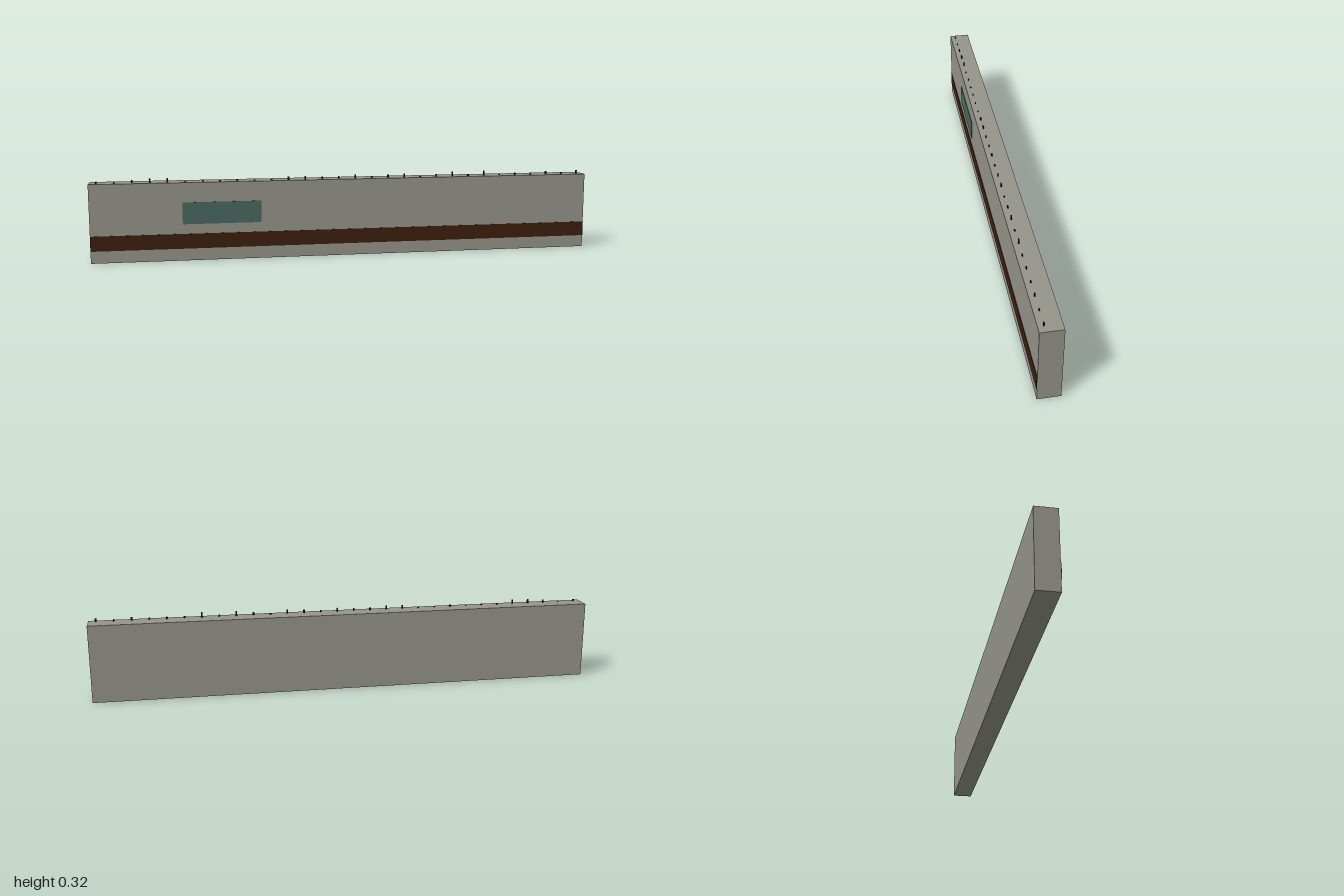
import * as THREE from 'three';

const paint = (name, color) => {
  const m = new THREE.MeshStandardMaterial({ color });
  m.name = name;
  return m;
};

export function createModel() {
  const group = new THREE.Group();
  const concrete = paint('concrete grey', 0x96958b);
  const brown = paint('dark brown', 0x3d200f);
  const teal = paint('faded teal', 0x4a6862);
  const glass = paint('dark glass', 0x1c1a12);

  // Box given by its lower and upper corners
  function box(name, material, [x0, y0, z0], [x1, y1, z1], parent = group) {
    const mesh = new THREE.Mesh(new THREE.BoxGeometry(x1 - x0, y1 - y0, z1 - z0), material);
    mesh.position.set((x0 + x1) / 2, (y0 + y1) / 2, (z0 + z1) / 2);
    mesh.name = name;
    parent.add(mesh);
  }

  // Wall slab with a painted band and a patch on the front
  const top = 0.305, front = 0.041;
  box('wall', concrete, [-1, 0, -0.042], [1, top, front]);
  box('paintedBand', brown, [-1, 0.047, front], [1, 0.105, front + 0.002]);
  box('paintedPatch', teal, [-0.65, 0.143, front], [-0.345, 0.228, front + 0.002]);

  // Row of thin shards of uneven height along the top, in thousandths
  const shards = new THREE.Group();
  shards.name = 'topShards';
  group.add(shards);
  const heights = [8, 5, 11, 16, 17, 4, 6, 5, 7, 4, 4, 13, 14, 10, 10, 14,
    7, 12, 15, 4, 11, 18, 8, 20, 7, 9, 7, 13, 8, 14];
  heights.forEach((h, i) => {
    const x = -0.972 + i * 0.067;
    box('shard', glass, [x - 0.003, top, 0.018], [x + 0.003, top + h / 1000, 0.022], shards);
  });
  return group;
}
